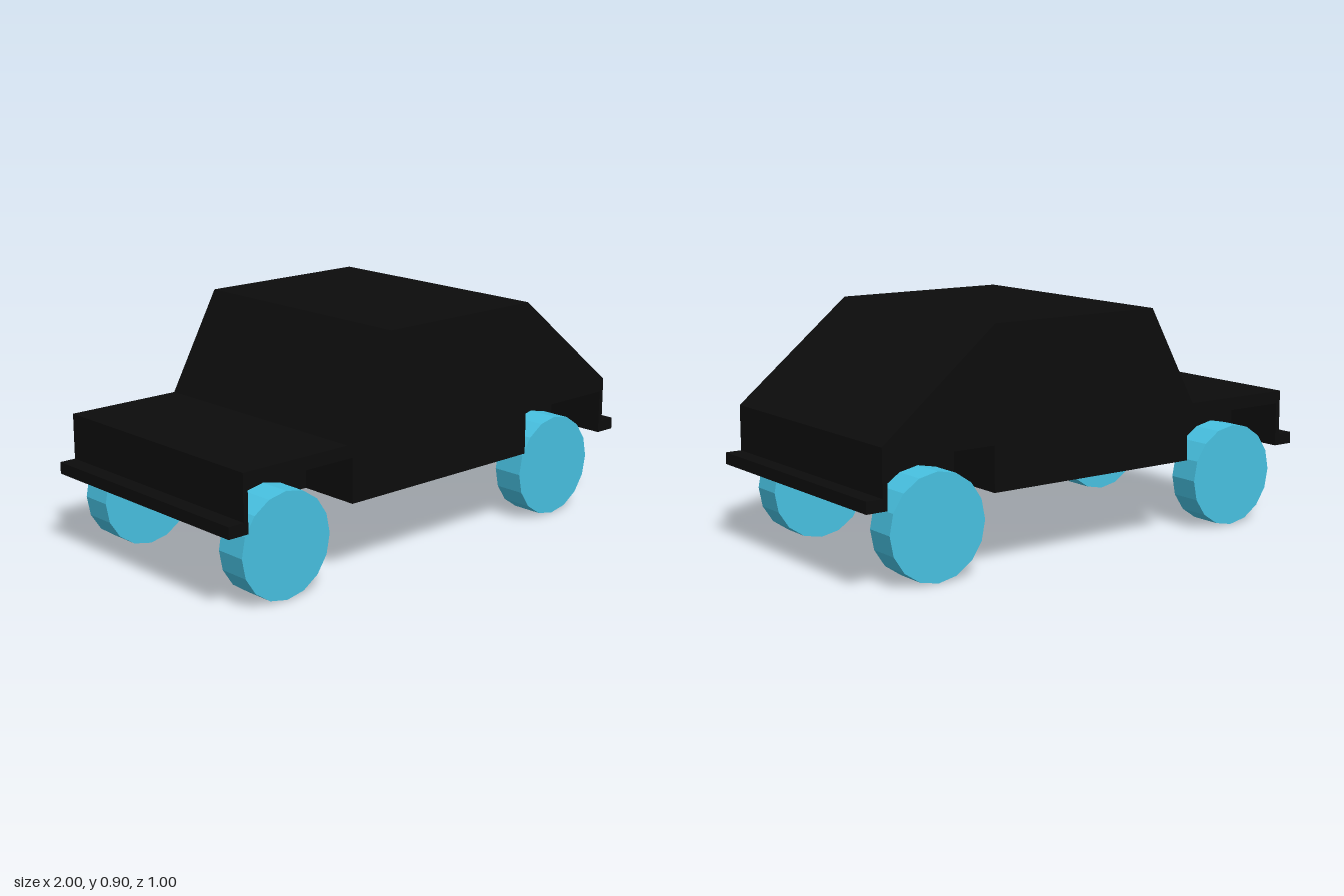
import * as THREE from 'three';

const paint = new THREE.MeshStandardMaterial({ color: 0x0c0c0c, flatShading: true });
const wheelBlue = new THREE.MeshStandardMaterial({ color: 0x47c0e0, flatShading: true });

// Upper side outline of the car, shared by the core and the flanks
const upper = [
  [-0.935, 0.3], [-0.935, 0.52], [-0.465, 0.52], [-0.255, 0.9],
  [0.465, 0.9], [0.935, 0.52], [0.935, 0.3],
];
// Underside of the flanks with a square wheel well at each end
const wells = [
  [0.915, 0.3], [0.915, 0.47], [0.47, 0.47], [0.47, 0.3],
  [-0.44, 0.3], [-0.44, 0.47], [-0.915, 0.47], [-0.915, 0.3],
];

// Extrude a side outline from z0 to z1
function slab(name, points, z0, z1) {
  const shape = new THREE.Shape(points.map(([x, y]) => new THREE.Vector2(x, y)));
  const geometry = new THREE.ExtrudeGeometry(shape, { depth: z1 - z0, bevelEnabled: false });
  geometry.translate(0, 0, z0);
  const mesh = new THREE.Mesh(geometry, paint);
  mesh.name = name;
  return mesh;
}

export function createModel() {
  const car = new THREE.Group();
  car.name = 'car';

  // Body: solid core between the wheels, flanks with wheel wells
  car.add(slab('bodyCore', upper, -0.25, 0.25));
  car.add(slab('leftFlank', [...upper, ...wells], 0.25, 0.5));
  car.add(slab('rightFlank', [...upper, ...wells], -0.5, -0.25));

  // Full-width bumpers at both ends
  for (const side of [-1, 1]) {
    const bumper = new THREE.Mesh(new THREE.BoxGeometry(0.07, 0.045, 1), paint);
    bumper.name = 'bumper';
    bumper.position.set(side * 0.965, 0.3225, 0);
    car.add(bumper);
  }

  // Four sixteen-sided wheels
  const wheelGeometry = new THREE.CylinderGeometry(0.2, 0.2, 0.125, 16).rotateX(Math.PI / 2);
  for (const x of [-0.715, 0.685]) {
    for (const z of [-0.4, 0.4]) {
      const wheel = new THREE.Mesh(wheelGeometry, wheelBlue);
      wheel.name = 'wheel';
      wheel.position.set(x, 0.2, z);
      car.add(wheel);
    }
  }
  return car;
}
